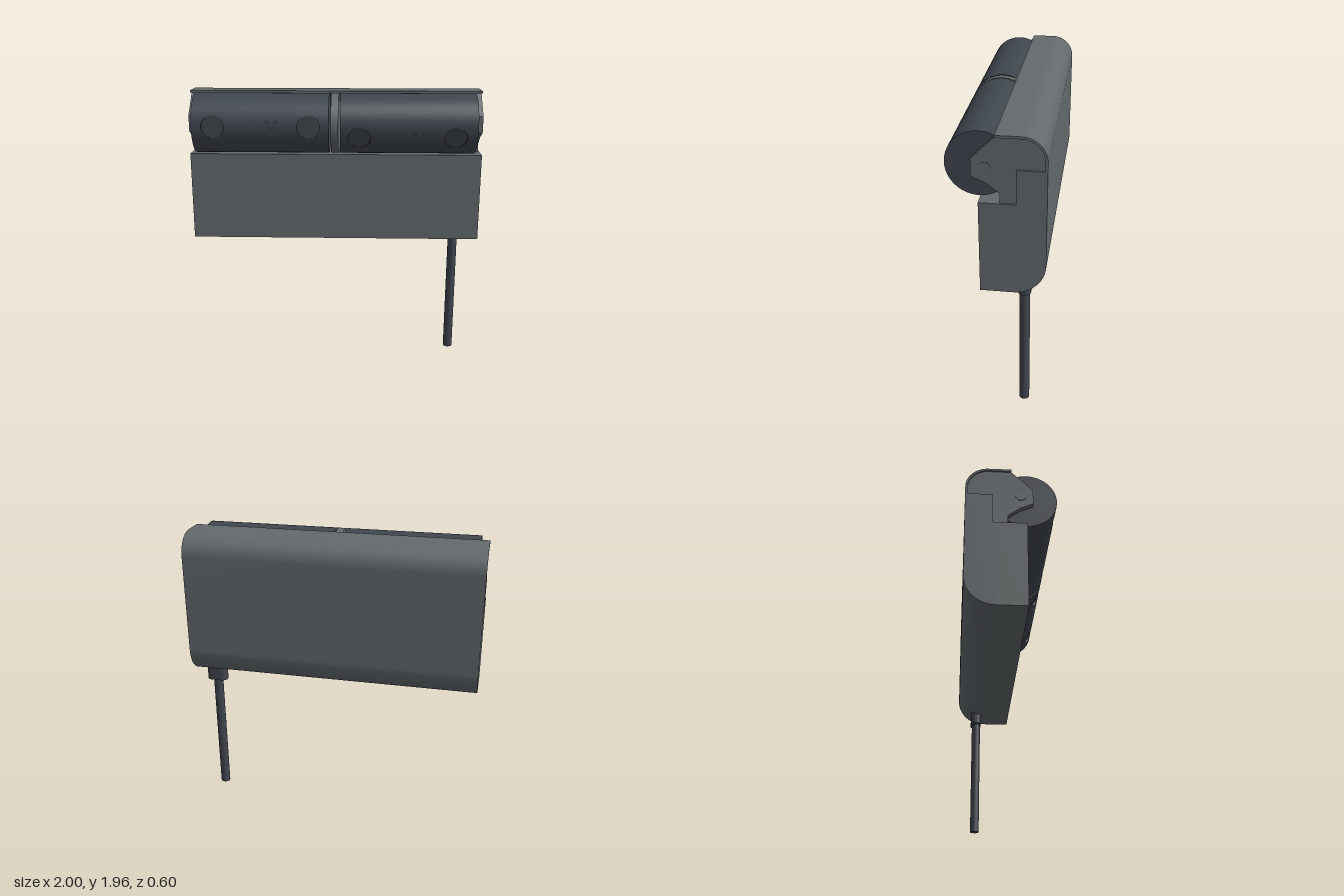
import * as THREE from 'three';
import { toCreasedNormals } from 'three/addons/utils/BufferGeometryUtils.js';

const R = 0.2, AXIS_Y = 1.757, AXIS_Z = 0.1;   // barrel radius and axis
const LENS_R = 0.075, LENS_FLOOR = 0.182;      // recessed round windows
const PATCH_X = 0.09, PATCH_A = 0.5;           // barrel patch around a window

export function createModel() {
  const model = new THREE.Group();
  const housingGrey = new THREE.MeshStandardMaterial({ color: 0x63696c });
  housingGrey.name = 'housingGrey';
  const barrelGrey = new THREE.MeshStandardMaterial({ color: 0x40464e });
  barrelGrey.name = 'barrelGrey';
  const holeGrey = new THREE.MeshStandardMaterial({ color: 0x343a41 });
  holeGrey.name = 'holeGrey';

  function add(parent, name, geometry, material, x = 0, y = 0, z = 0) {
    const mesh = new THREE.Mesh(geometry, material);
    mesh.name = name;
    mesh.position.set(x, y, z);
    parent.add(mesh);
    return mesh;
  }

  // Extrudes a side profile, drawn in (-z, y), along x and centres it
  function sideExtrude(shape, width) {
    const g = new THREE.ExtrudeGeometry(shape, { depth: width, bevelEnabled: false, curveSegments: 20 });
    g.translate(0, 0, -width / 2);
    g.rotateY(Math.PI / 2);
    return toCreasedNormals(g, 0.5);
  }

  // Grid surface; fn(u, v) gives a position and a normal
  function surface(nu, nv, fn) {
    const pos = [], nor = [], idx = [];
    for (let j = 0; j <= nv; j++) {
      for (let i = 0; i <= nu; i++) {
        const [p, n] = fn(i / nu, j / nv);
        pos.push(...p);
        nor.push(...n);
        if (i < nu && j < nv) {
          const a = j * (nu + 1) + i, b = a + 1, c = a + nu + 1, d = c + 1;
          idx.push(a, b, d, a, d, c);
        }
      }
    }
    const g = new THREE.BufferGeometry();
    g.setAttribute('position', new THREE.Float32BufferAttribute(pos, 3));
    g.setAttribute('normal', new THREE.Float32BufferAttribute(nor, 3));
    g.setIndex(idx);
    return g;
  }
  const onBarrel = (x, a) => [[x, R * Math.sin(a), R * Math.cos(a)], [0, Math.sin(a), Math.cos(a)]];

  // Housing: solid lower box and a thin hood curling over the barrels
  const body = new THREE.Shape();
  body.moveTo(-0.1, 0.94);
  body.lineTo(0.1, 0.94);
  body.absarc(0.1, 1.14, 0.2, -Math.PI / 2, 0, false);
  body.lineTo(0.3, 1.81);
  body.absarc(0.15, 1.81, 0.15, 0, Math.PI / 2, false);
  body.lineTo(0, 1.96);
  body.lineTo(0, 1.945);
  body.lineTo(0.15, 1.945);
  body.absarc(0.15, 1.81, 0.135, Math.PI / 2, 0, true);
  body.lineTo(0.285, 1.755);
  body.lineTo(0.12, 1.755);
  body.lineTo(0.12, 1.54);
  body.lineTo(-0.1, 1.54);
  add(model, 'housing', sideExtrude(body, 2), housingGrey);

  // End brackets with their pivots
  const bracket = new THREE.Shape();
  bracket.moveTo(0.12, 1.54);
  bracket.lineTo(0.12, 1.755);
  bracket.lineTo(0.285, 1.755);
  bracket.lineTo(0.285, 1.81);
  bracket.absarc(0.15, 1.81, 0.135, 0, Math.PI / 2, false);
  bracket.lineTo(0, 1.945);
  bracket.lineTo(-0.14, 1.81);
  bracket.lineTo(-0.14, 1.7);
  bracket.lineTo(-0.05, 1.66);
  bracket.lineTo(0.025, 1.6);
  bracket.lineTo(0.025, 1.54);
  const bracketGeo = sideExtrude(bracket, 0.035);
  const pivotGeo = new THREE.CylinderGeometry(0.035, 0.035, 0.055, 24).rotateZ(Math.PI / 2);
  for (const side of [-1, 1]) {
    const name = side > 0 ? 'left' : 'right';
    add(model, name + 'Bracket', bracketGeo, housingGrey, side * 0.972);
    add(model, name + 'Pivot', pivotGeo, housingGrey, side * 0.966, AXIS_Y, 0.06);
  }

  // Central divider between the barrels, with a neck into the housing
  add(model, 'divider', new THREE.CylinderGeometry(R, R, 0.05, 64).rotateZ(Math.PI / 2),
    housingGrey, 0, AXIS_Y, AXIS_Z);
  add(model, 'dividerNeck', new THREE.BoxGeometry(0.05, 0.405, 0.15), housingGrey, 0, 1.743, -0.05);

  // Barrel: plain arc, front band cut around two round windows, and end caps
  function makeBarrel(name, x0, x1, tilt, lenses, mid) {
    const barrel = new THREE.Group();
    barrel.name = name;
    barrel.position.set(0, AXIS_Y, AXIS_Z);
    barrel.rotation.x = tilt;
    model.add(barrel);
    const strip = (xa, xb, a, b, n) => surface(1, n, (u, v) => onBarrel(xa + (xb - xa) * u, a + (b - a) * v));

    add(barrel, 'barrelShell', strip(x0, x1, PATCH_A, Math.PI * 2 - PATCH_A, 72), barrelGrey);
    const cuts = [x0, ...lenses.flatMap(x => [x - PATCH_X, x + PATCH_X]), x1];
    for (let i = 0; i < cuts.length; i += 2)
      add(barrel, 'barrelFront', strip(cuts[i], cuts[i + 1], -PATCH_A, PATCH_A, 16), barrelGrey);

    for (const x of lenses) {
      // Patch from the window's rim out to a rectangle
      const patch = surface(5, 64, (u, v) => {
        const t = v * Math.PI * 2, c = Math.cos(t), s = Math.sin(t);
        const k = 1 / Math.max(Math.abs(c), Math.abs(s));
        const rimA = Math.asin(LENS_R * s / R);
        return onBarrel(x + LENS_R * c + (PATCH_X * k * c - LENS_R * c) * u,
          rimA + (PATCH_A * k * s - rimA) * u);
      });
      add(barrel, 'windowSurround', patch, barrelGrey);
      // Recess wall and flat window
      const wall = surface(1, 64, (u, v) => {
        const t = v * Math.PI * 2, y = LENS_R * Math.sin(t);
        const top = Math.sqrt(R * R - y * y);
        return [[x + LENS_R * Math.cos(t), y, LENS_FLOOR + (top - LENS_FLOOR) * u],
          [-Math.cos(t), -Math.sin(t), 0]];
      });
      add(barrel, 'windowWall', wall, barrelGrey);
      add(barrel, 'window', new THREE.CircleGeometry(LENS_R, 64), barrelGrey, x, 0, LENS_FLOOR);
    }

    for (const [x, turn] of [[x0, -1], [x1, 1]])
      add(barrel, 'barrelEnd', new THREE.CircleGeometry(R, 72).rotateY(turn * Math.PI / 2), barrelGrey, x);

    // Three small holes in the middle
    for (const [dx, y, r] of [[-0.028, 0.032, 0.014], [0.028, 0.032, 0.014], [0, -0.014, 0.008]]) {
      const a = Math.asin(y / R);
      const hole = add(barrel, 'smallHole', new THREE.CircleGeometry(r, 20), holeGrey,
        mid + dx, y, Math.cos(a) * R + 0.001);
      hole.rotation.x = -a;
    }
  }
  makeBarrel('rightBarrel', -0.943, -0.038, 0, [-0.803, -0.171], -0.414);
  makeBarrel('leftBarrel', 0.036, 0.938, 0.37, [0.163, 0.797], 0.553);

  // Cable and its rounded gland under the housing
  const gland = new THREE.Shape();
  gland.absarc(0.034, 0, 0.04, -Math.PI / 2, Math.PI / 2, false);
  gland.absarc(-0.034, 0, 0.04, Math.PI / 2, Math.PI * 1.5, false);
  const glandGeo = new THREE.ExtrudeGeometry(gland, { depth: 0.12, bevelEnabled: false, curveSegments: 16 });
  glandGeo.rotateX(-Math.PI / 2);
  add(model, 'cableGland', toCreasedNormals(glandGeo, 0.5), barrelGrey, 0.857, 0.872, -0.16);
  add(model, 'cable', new THREE.CylinderGeometry(0.033, 0.033, 0.9, 32), barrelGrey, 0.857, 0.45, -0.158);

  return model;
}
